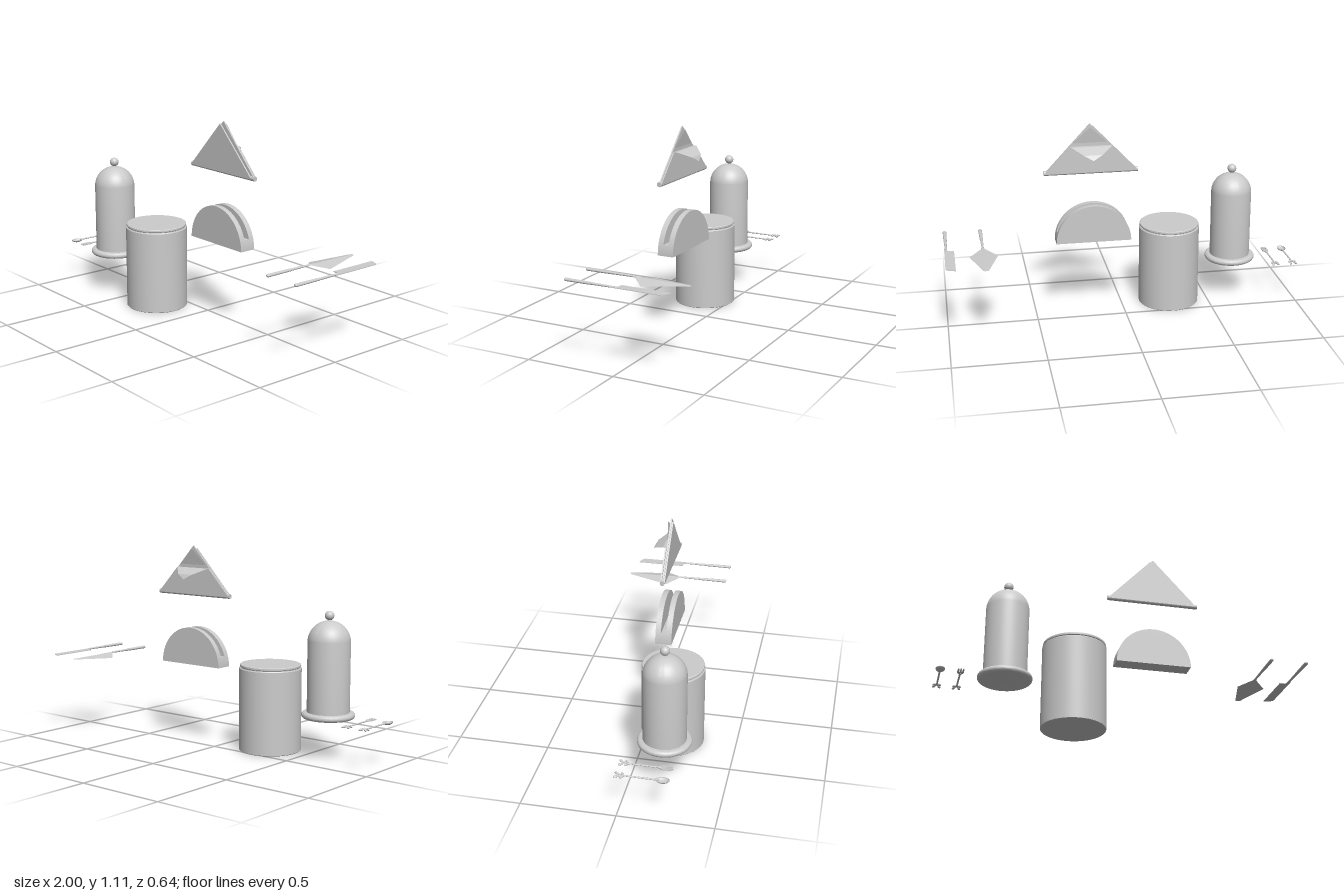
import * as THREE from 'three';
import { toCreasedNormals } from 'three/addons/utils/BufferGeometryUtils.js';

const mat = new THREE.MeshStandardMaterial({ color: 0xcccccc });
const thin = new THREE.MeshStandardMaterial({ color: 0xcccccc, side: THREE.DoubleSide });

function add(parent, name, geo, x = 0, y = 0, z = 0, material = mat) {
  const m = new THREE.Mesh(geo, material);
  m.name = name;
  m.position.set(x, y, z);
  parent.add(m);
  return m;
}

function group(parent, name) {
  const g = new THREE.Group();
  g.name = name;
  parent.add(g);
  return g;
}

const shapeOf = pts => new THREE.Shape(pts.map(p => new THREE.Vector2(...p)));
const slab = (shape, depth) =>
  new THREE.ExtrudeGeometry(shape, { depth, bevelEnabled: false, curveSegments: 48 });
// Flat plate lying in the xz plane; points are [x, z]
const flat = (pts, depth) => slab(shapeOf(pts.map(([x, z]) => [x, -z])), depth).rotateX(-Math.PI / 2);
const lathe = pts => toCreasedNormals(
  new THREE.LatheGeometry(pts.map(p => new THREE.Vector2(...p)), 64), 0.6);

// Thin sheet: each row is [halfWidth, edgeY, ridgeY, z], mirrored about x = 0
function sheet(rows) {
  const pos = [], index = [];
  rows.forEach(([w, ye, yr, z], i) => {
    pos.push(-w, ye, z, 0, yr, z, w, ye, z);
    if (i) for (let k = 0; k < 2; k++) {
      const a = (i - 1) * 3 + k, b = a + 3;
      index.push(a, b, a + 1, a + 1, b, b + 1);
    }
  });
  const g = new THREE.BufferGeometry();
  g.setAttribute('position', new THREE.Float32BufferAttribute(pos, 3));
  g.setIndex(index);
  return toCreasedNormals(g, 0.15);
}

// Rod along z with an elliptical section
function rod(parent, name, x, y, z0, z1, r0, r1, flatY = 0.8) {
  const g = new THREE.CylinderGeometry(r1, r0, z1 - z0, 16).rotateX(Math.PI / 2).scale(1, flatY, 1);
  return add(parent, name, g, x, y, (z0 + z1) / 2);
}

// Rounded grip with a slim neck, shared by the server and the knife
function grip(parent, x, y, start) {
  rod(parent, 'neck', x, y, start, 0.13, 0.006, 0.008);
  rod(parent, 'grip', x, y, 0.12, 0.265, 0.009, 0.0105);
  add(parent, 'gripEnd', new THREE.SphereGeometry(0.0105, 16, 10).scale(1, 0.8, 1), x, y, 0.265);
}

// Twig-like handle with paired leaves at its far end
function twigHandle(parent, x, y) {
  rod(parent, 'twigStem', x, y, 0.02, 0.21, 0.0045, 0.005);
  for (const s of [-1, 1]) {
    [[0.014, -0.001, 0.5], [0.012, 0.028, 0.9]].forEach(([dx, z, a]) => {
      const leaf = add(parent, 'leaf', new THREE.SphereGeometry(1, 12, 8).scale(0.0065, 0.006, 0.013), x + s * dx, y, z);
      leaf.rotation.y = -s * a;
    });
    const stalk = add(parent, 'leafStalk', new THREE.CylinderGeometry(0.003, 0.003, 0.035, 8).rotateX(Math.PI / 2), x + s * 0.006, y, 0.013);
    stalk.rotation.y = -s * 0.4;
  }
}

export function createModel() {
  const root = new THREE.Group();
  root.name = 'tablewareSet';

  // Canister with a low lid
  const can = group(root, 'canister');
  add(can, 'canisterBody', lathe([[0, 0], [0.168, 0], [0.171, 0.003], [0.171, 0.457],
    [0.168, 0.461], [0, 0.461]]), -0.275, 0, 0.15);
  add(can, 'canisterLid', lathe([[0, 0.458], [0.162, 0.458], [0.163, 0.464], [0.167, 0.467], [0.168, 0.472],
    [0.167, 0.477], [0.163, 0.48], [0, 0.48]]), -0.275, 0, 0.15);

  // Domed cover on a rounded plate
  const dome = group(root, 'domedCover');
  const rim = [[0, 0.224], [0.126, 0.224]];
  for (let i = 0; i <= 10; i++) {
    const a = -Math.PI / 2 + i * Math.PI / 10;
    rim.push([0.126 + 0.017 * Math.cos(a), 0.241 + 0.017 * Math.sin(a)]);
  }
  rim.push([0, 0.255]);
  add(dome, 'basePlate', lathe(rim), -0.642, 0, 0.176);
  const bell = [[0.114, 0.25]];
  for (let i = 0; i <= 20; i++) {
    const a = i * Math.PI / 40;
    bell.push([0.114 * Math.cos(a), 0.631 + 0.114 * Math.sin(a)]);
  }
  add(dome, 'bell', lathe(bell), -0.642, 0, 0.176);
  add(dome, 'knobNeck', new THREE.CylinderGeometry(0.009, 0.013, 0.02, 24), -0.642, 0.747, 0.176);
  add(dome, 'knob', new THREE.SphereGeometry(0.025, 32, 20), -0.642, 0.771, 0.176);

  // Napkin holder: two half discs joined by a low web
  const holder = group(root, 'napkinHolder');
  const R = 0.208, slotY = 0.059, a = Math.asin(slotY / R);
  const half = new THREE.Shape();
  half.absarc(0, 0, R, 0, Math.PI, false);
  half.closePath();
  const web = new THREE.Shape();
  web.absarc(0, 0, R, 0, a, false);
  web.absarc(0, 0, R, Math.PI - a, Math.PI, false);
  web.closePath();
  for (const [name, z] of [['backPlate', 0], ['frontPlate', 0.061]])
    add(holder, name, toCreasedNormals(slab(half, 0.03), 0.5), 0.178, 0.445, z);
  add(holder, 'web', toCreasedNormals(slab(web, 0.031), 0.5), 0.178, 0.445, 0.03);

  // Folded napkin with its back layer turned down
  const napkin = group(root, 'napkin');
  add(napkin, 'frontLayer', slab(shapeOf([[-0.073, 0.838], [0.425, 0.838], [0.172, 1.095]]), 0.008), 0, 0, 0.052);
  add(napkin, 'middleLayer', slab(shapeOf([[-0.073, 0.838], [0.443, 0.838], [0.19, 1.11]]), 0.008), 0, 0, 0.043);
  add(napkin, 'backLayer', slab(shapeOf([[-0.073, 0.838], [0.443, 0.838], [0.302, 0.987], [0.072, 0.987]]), 0.007), 0, 0, 0.034);
  add(napkin, 'foldedEdge', new THREE.CylinderGeometry(0.013, 0.013, 0.515, 20).rotateZ(Math.PI / 2), 0.185, 0.842, 0.047);
  add(napkin, 'innerFlap', sheet([[0.095, 1.005, 1.005, 0.041], [0, 1.093, 1.093, 0.028]]), 0.19, 0, 0, thin);
  add(napkin, 'turnedFlap', sheet([[0.115, 0.987, 0.987, 0.034], [0.109, 0.986, 0.986, 0.022],
    [0.05, 0.955, 0.955, -0.035], [0, 0.928, 0.928, -0.05]]), 0.183, 0, 0, thin);

  // Cake server with a ridged blade
  const server = group(root, 'cakeServer');
  add(server, 'serverBlade', sheet([[0.006, 0.45, 0.451, -0.323], [0.014, 0.449, 0.452, -0.315],
    [0.077, 0.436, 0.454, -0.085], [0.01, 0.452, 0.457, -0.015], [0.006, 0.455, 0.457, 0.01]]), 0.79, 0, 0, thin);
  grip(server, 0.79, 0.454, -0.01);

  // Cake knife with a slanted end
  const knife = group(root, 'cakeKnife');
  add(knife, 'knifeBlade', flat([[0.945, -0.303], [0.985, -0.288], [0.998, -0.275], [0.998, 0.01],
    [0.982, 0.01], [0.978, -0.022], [0.945, -0.028]], 0.003), 0, 0.453, 0);
  grip(knife, 0.988, 0.455, -0.01);

  // Small spoon
  const spoon = group(root, 'spoon');
  twigHandle(spoon, -0.976, 0.236);
  add(spoon, 'spoonBowl', new THREE.SphereGeometry(1, 24, 10, 0, Math.PI * 2, Math.PI / 2, Math.PI / 2)
    .scale(0.024, 0.015, 0.034), -0.976, 0.239, 0.232, thin);

  // Small fork
  const fork = group(root, 'fork');
  twigHandle(fork, -0.873, 0.236);
  add(fork, 'forkHead', flat([[-0.005, 0.19], [-0.017, 0.212], [-0.016, 0.262], [-0.009, 0.262], [-0.008, 0.225],
    [-0.004, 0.225], [-0.003, 0.266], [0.003, 0.266], [0.004, 0.225], [0.008, 0.225],
    [0.009, 0.262], [0.016, 0.262], [0.017, 0.212], [0.005, 0.19]], 0.005), -0.873, 0.233, 0);

  return root;
}
